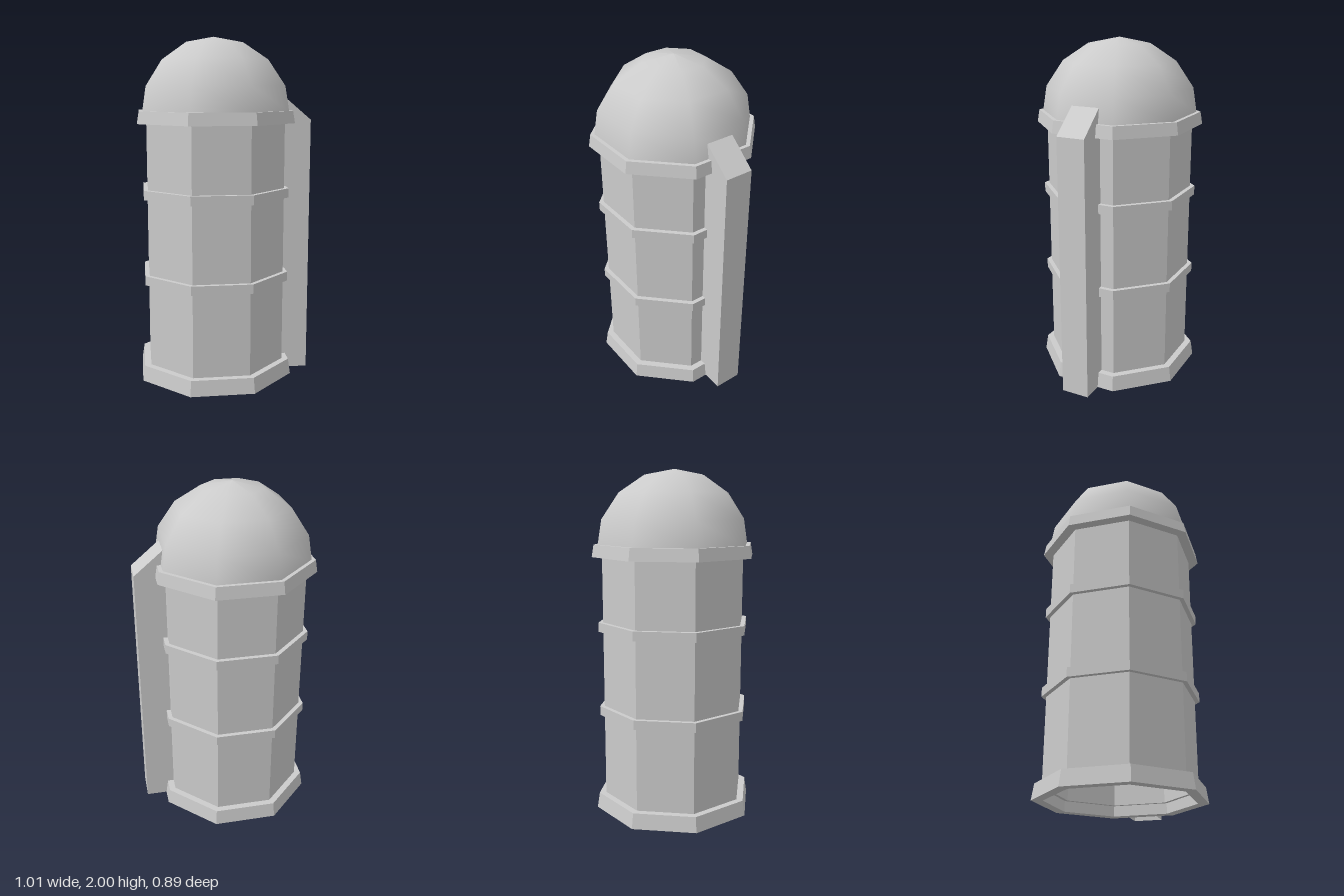
import * as THREE from 'three';

const SIDES = 8;
const AXIS_X = -0.06; // the tower sits left of the chute
const CORNER = 1 / Math.cos(Math.PI / SIDES); // flat-to-corner radius

const material = new THREE.MeshStandardMaterial({ color: 0xcccccc, side: THREE.DoubleSide });

// Octagonal lathe; profile radii are measured to the flats
function octagon(name, profile, faceted = true) {
  const points = profile.map(([r, y]) => new THREE.Vector2(r * CORNER, y));
  let geometry = new THREE.LatheGeometry(points, SIDES, Math.PI / SIDES);
  if (faceted) {
    geometry = geometry.toNonIndexed();
    geometry.computeVertexNormals();
  }
  const mesh = new THREE.Mesh(geometry, material);
  mesh.name = name;
  mesh.position.x = AXIS_X;
  return mesh;
}

// Closed ring with a possibly tapered outer face
function ring(name, inner, bottom, top, y0, y1) {
  return octagon(name, [[bottom, y0], [top, y1], [inner, y1], [inner, y0], [bottom, y0]]);
}

// Box open at the bottom, with its top sloping down and away from the tower
function chute() {
  const x0 = 0.325, x1 = 0.505, outerTop = 1.525, innerTop = 1.677;
  const box = new THREE.BoxGeometry(x1 - x0, 1, 0.166);
  box.translate((x0 + x1) / 2, 0.5, 0);
  const index = Array.from(box.index.array);
  index.splice(18, 6); // remove the bottom face
  box.setIndex(index);
  const p = box.attributes.position;
  for (let i = 0; i < p.count; i++) {
    if (p.getY(i) > 0.5) p.setY(i, p.getX(i) > 0.4 ? outerTop : innerTop);
  }
  const geometry = box.toNonIndexed();
  geometry.computeVertexNormals();
  const mesh = new THREE.Mesh(geometry, material);
  mesh.name = 'sideChute';
  return mesh;
}

export function createModel() {
  const group = new THREE.Group();
  group.name = 'silo';

  // Hollow wall
  group.add(ring('wall', 0.365, 0.393, 0.393, 0.06, 1.6));

  // Tapered foundation and eaves
  group.add(ring('foundationRing', 0.385, 0.443, 0.43, 0, 0.09));
  group.add(ring('eavesRing', 0.385, 0.447, 0.436, 1.51, 1.58));

  // Hoops around the wall
  [0.58, 1.08].forEach((y, i) => group.add(ring('hoop' + (i + 1), 0.385, 0.418, 0.418, y, y + 0.054)));

  // Smooth dome
  group.add(octagon('domeRoof', [
    [0.415, 1.575], [0.393, 1.72], [0.3, 1.868], [0.163, 1.966], [0, 2],
  ], false));

  group.add(chute());
  return group;
}
